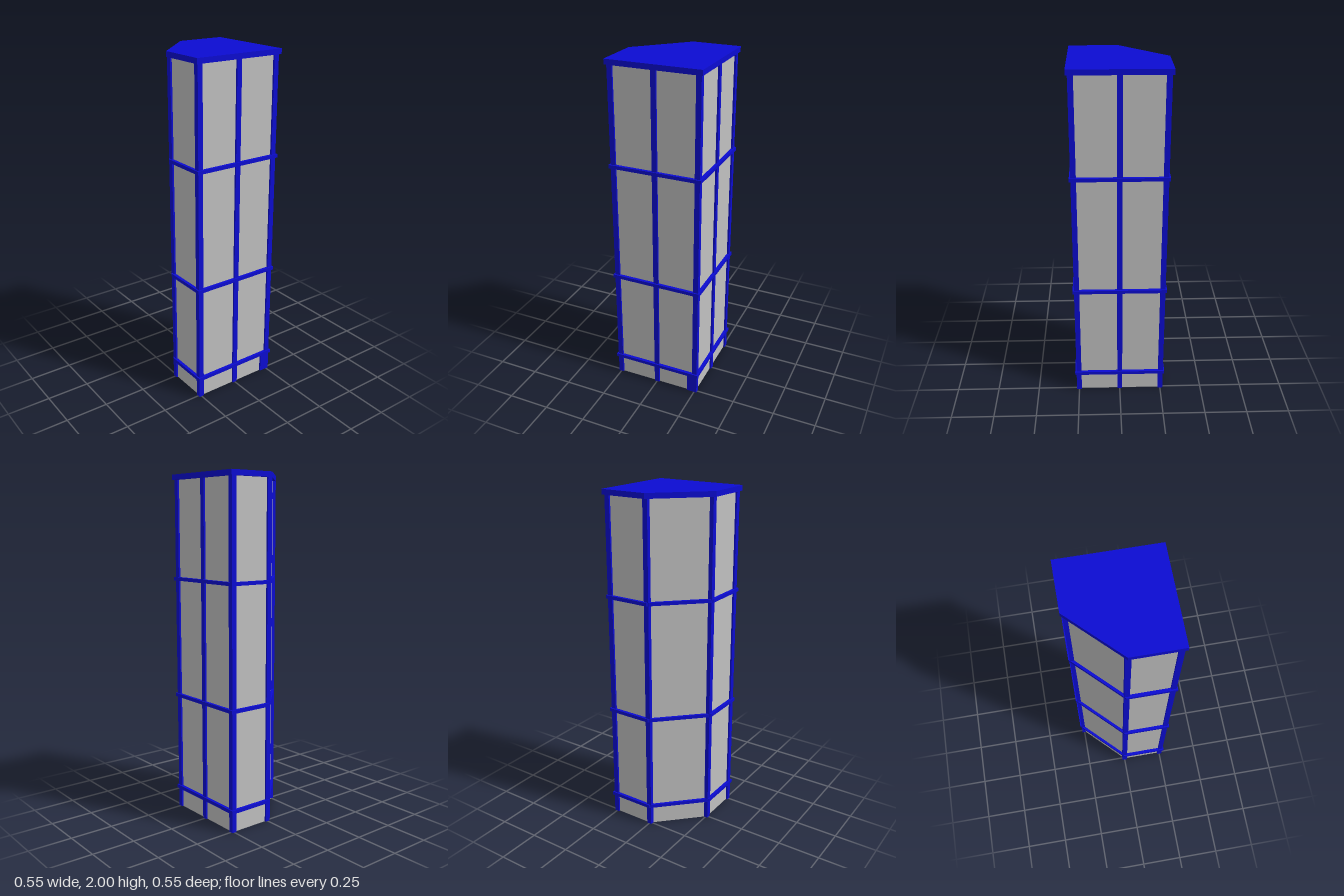
import * as THREE from 'three';

export function createModel() {
  const blue = new THREE.MeshStandardMaterial({ color: 0x0c0cd2 });
  blue.name = 'blue frame';
  const grey = new THREE.MeshStandardMaterial({ color: 0xc0c0c0 });
  grey.name = 'grey panel';
  const group = new THREE.Group();
  group.name = 'tower';

  const add = (name, geometry, material, x = 0, y = 0, z = 0) => {
    const mesh = new THREE.Mesh(geometry, material);
    mesh.name = name;
    mesh.position.set(x, y, z);
    group.add(mesh);
    return mesh;
  };

  // Five-sided slab: a square with its front left-hand corner cut off
  const slab = (name, r, cut, y, height) => {
    const outline = [[-r, -r], [r, -r], [r, r], [-cut, r], [-r, cut]];
    const shape = new THREE.Shape(outline.map(([x, z]) => new THREE.Vector2(x, -z)));
    const geometry = new THREE.ExtrudeGeometry(shape, { depth: height, bevelEnabled: false });
    geometry.rotateX(-Math.PI / 2);
    add(name, geometry, blue, 0, y, 0);
  };
  slab('roof', 0.275, 0.005, 1.97, 0.03);
  [0.115, 0.695, 1.395].forEach((y) => slab('floorBand', 0.273, 0.005, y, 0.02));

  // Upright posts at the corners, side middles and centre
  const s = 0.25;
  const spots = [[-s, -s], [0, -s], [s, -s], [s, 0], [s, s], [0, s], [-s, 0]];
  spots.forEach(([x, z]) => add('post', new THREE.BoxGeometry(0.03, 1.97, 0.03), blue, x, 0.985, z));
  add('centrePost', new THREE.BoxGeometry(0.02, 0.115, 0.02), blue, 0, 0.0575, 0);

  // Thin wall panels between neighbouring posts
  const panel = (name, [x1, z1], [x2, z2], height) => {
    const length = Math.hypot(x2 - x1, z2 - z1);
    const mesh = add(name, new THREE.BoxGeometry(length, height, 0.009), grey,
      (x1 + x2) / 2, height / 2, (z1 + z2) / 2);
    mesh.rotation.y = -Math.atan2(z2 - z1, x2 - x1);
  };
  spots.forEach((spot, i) => panel('wallPanel', spot, spots[(i + 1) % spots.length], 1.97));

  // Partitions in the open base
  panel('basePartition', [-s, 0], [s, 0], 0.115);
  panel('basePartition', [0, -s], [0, s], 0.115);

  // Wide foot at the rear corner
  add('cornerFoot', new THREE.BoxGeometry(0.024, 0.12, 0.062), blue, 0.253, 0.06, -0.234);
  return group;
}
